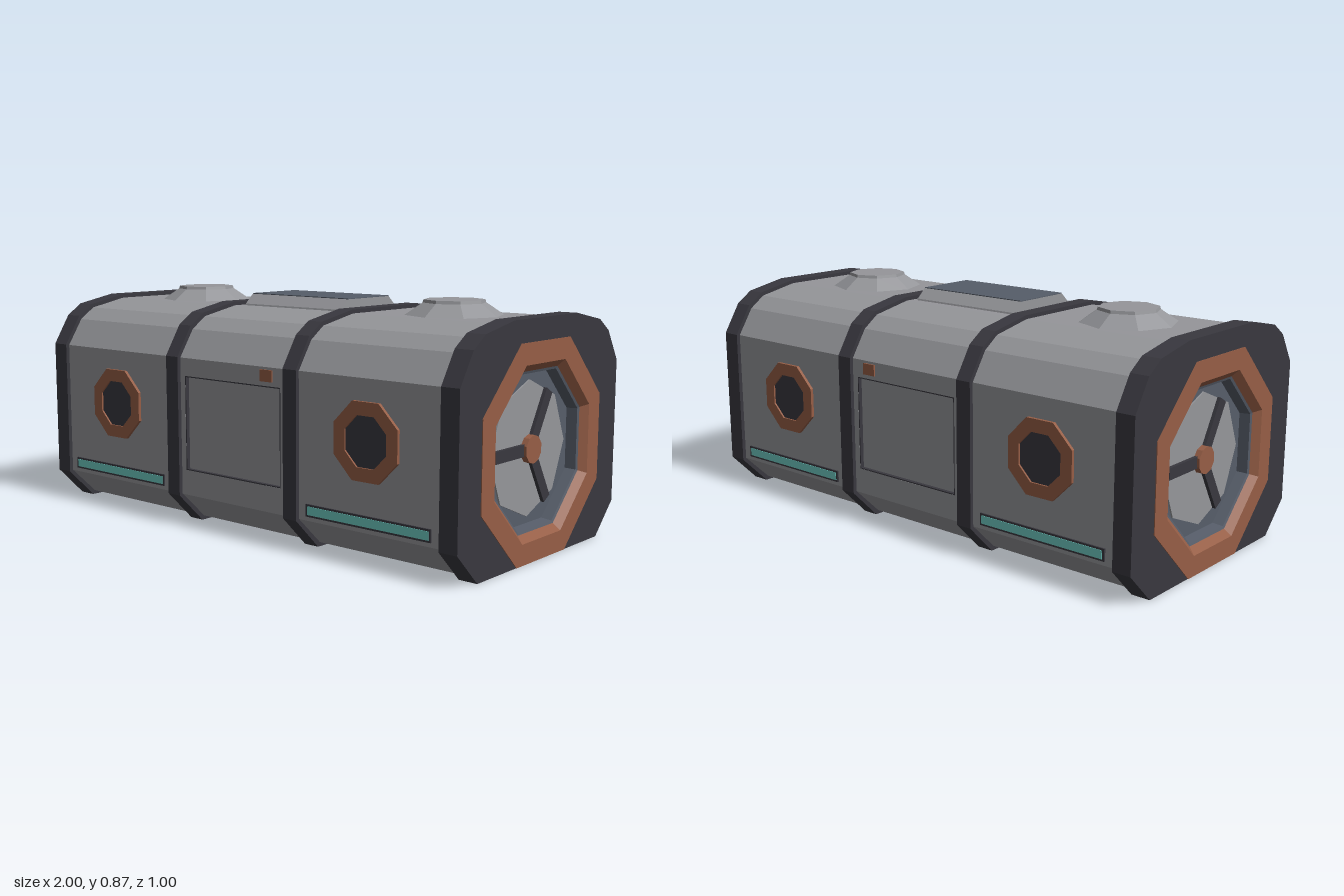
import * as THREE from 'three';

const mat = (name, color) => new THREE.MeshStandardMaterial({ name, color, flatShading: true });

export function createModel() {
  const model = new THREE.Group();
  model.name = 'habitatModule';
  const hull = mat('hull grey', 0x95969a);
  const dark = mat('dark trim', 0x39383f);
  const orange = mat('rust orange', 0x965e46);
  const blue = mat('slate blue', 0x565d69);
  const teal = mat('teal light', 0x70cec5);

  const add = (parent, name, geo, material, x = 0, y = 0, z = 0) => {
    const m = new THREE.Mesh(geo, material);
    m.name = name;
    m.position.set(x, y, z);
    parent.add(m);
    return m;
  };
  const box = (parent, name, material, w, h, d, x, y, z) =>
    add(parent, name, new THREE.BoxGeometry(w, h, d), material, x, y, z);
  const v2 = (pts) => pts.map(([x, y]) => new THREE.Vector2(x, y));

  // Symmetric section from its right half, listed bottom to top
  const section = (half) =>
    new THREE.Shape(v2([...half, ...half.map(([x, y]) => [-x, y]).reverse()]));
  // Section extruded along the x axis from x0 to x1
  const alongX = (shape, x0, x1) =>
    new THREE.ExtrudeGeometry(shape, { depth: x1 - x0, bevelEnabled: false })
      .translate(0, 0, x0).rotateY(Math.PI / 2);
  // Flat-topped octagon outline
  const octagon = (r, cy = 0) => v2(Array.from({ length: 8 }, (_, i) => {
    const a = Math.PI / 8 + i * Math.PI / 4;
    return [r * Math.cos(a), cy + r * Math.sin(a)];
  }));
  // Eight-sided turned part whose axis points along z
  const turned = (pts) => new THREE.LatheGeometry(v2(pts), 8, Math.PI / 8).rotateX(Math.PI / 2);

  const bodyLow = [[0.375, 0.015], [0.485, 0.12]];
  const bodyHigh = [[0.485, 0.637], [0.42, 0.738], [0.357, 0.782], [0.196, 0.814]];
  const notch = [[0.485, 0.215], [0.47, 0.215], [0.47, 0.57], [0.485, 0.57]];
  const rib = [[0.385, 0], [0.5, 0.115], [0.5, 0.64], [0.43, 0.752], [0.365, 0.796], [0.2, 0.828]];

  // Hull, with recessed door panels in the middle section
  const plain = section([...bodyLow, ...bodyHigh]);
  add(model, 'hullCentre', alongX(section([...bodyLow, ...notch, ...bodyHigh]), -0.24, 0.24), hull);
  add(model, 'hullLeft', alongX(plain, 0.24, 0.928), hull);
  add(model, 'hullRight', alongX(plain, -0.928, -0.24), hull);

  // Ribs around the hull
  for (const x of [-0.295, 0.295]) add(model, 'rib', alongX(section(rib), x - 0.031, x + 0.031), dark);

  // Details on the two long sides
  for (const s of [1, -1]) {
    const side = new THREE.Group();
    side.name = s > 0 ? 'frontSide' : 'backSide';
    model.add(side);

    // Dark reveal around the recessed door
    for (const k of [-1, 1]) {
      box(side, 'doorReveal', dark, 0.004, 0.355, 0.0145, k * 0.238, 0.3925, s * 0.4775);
      box(side, 'doorReveal', dark, 0.48, 0.004, 0.0145, 0, 0.3925 + k * 0.1755, s * 0.4775);
    }
    box(side, 'doorControl', orange, 0.056, 0.042, 0.012, 0.176, 0.607, s * 0.485);

    for (const x of [-0.625, 0.625]) {
      // Porthole with an octagonal frame
      const frame = new THREE.Shape(octagon(0.144));
      frame.holes.push(new THREE.Path(octagon(0.094)));
      const frameGeo = new THREE.ExtrudeGeometry(frame, { depth: 0.02, bevelEnabled: false });
      add(side, 'portholeFrame', frameGeo, orange, x, 0.428, s > 0 ? 0.477 : -0.497);
      const glass = new THREE.ExtrudeGeometry(new THREE.Shape(octagon(0.098)), { depth: 0.008, bevelEnabled: false });
      add(side, 'portholeGlass', glass, dark, x, 0.428, s > 0 ? 0.482 : -0.490);
      // Light strip in a dark frame
      box(side, 'lightStripFrame', dark, 0.526, 0.044, 0.01, x, 0.158, s * 0.486);
      box(side, 'lightStrip', teal, 0.51, 0.03, 0.008, x, 0.158, s * 0.489);
    }
  }

  // Roof domes
  const dome = v2([[0.19, 0.805], [0.113, 0.857], [0.11, 0.868], [0, 0.868]]);
  for (const x of [-0.625, 0.625]) add(model, 'roofDome', new THREE.LatheGeometry(dome, 8), hull, x);

  // Skylight with a sloped base
  add(model, 'skylightBase', alongX(section([[0.165, 0.805], [0.16, 0.82], [0.121, 0.856]]), -0.24, 0.24), hull);
  box(model, 'skylightPane', blue, 0.478, 0.006, 0.24, 0, 0.856, 0);

  // End hatches: built facing +z, then turned to each end
  const collar = section(rib);
  collar.holes.push(new THREE.Path(octagon(0.34, 0.375)));
  for (const s of [1, -1]) {
    const end = new THREE.Group();
    end.name = s > 0 ? 'leftEnd' : 'rightEnd';
    end.rotation.y = s * Math.PI / 2;
    model.add(end);
    const collarGeo = new THREE.ExtrudeGeometry(collar, { depth: 0.071, bevelEnabled: false });
    add(end, 'endCollar', collarGeo, dark, 0, 0, 0.926);

    const hatch = new THREE.Group();
    hatch.name = 'hatch';
    hatch.position.y = 0.375;
    end.add(hatch);
    add(hatch, 'hatchRing',
      turned([[0.4055, 0.98], [0.4055, 1], [0.325, 1], [0.298, 0.975], [0.298, 0.96]]), orange);
    add(hatch, 'hatchWell',
      turned([[0.3, 0.976], [0.289, 0.972], [0.284, 0.932], [0, 0.932]]), blue);
    add(hatch, 'hatchPlate',
      new THREE.CylinderGeometry(0.237, 0.237, 0.01, 8).rotateX(Math.PI / 2), hull, 0, 0, 0.933);
    for (const a of [Math.PI / 3, Math.PI, -Math.PI / 3]) {
      const spoke = box(hatch, 'hatchSpoke', dark, 0.22, 0.042, 0.014,
        0.11 * Math.cos(a), 0.11 * Math.sin(a), 0.944);
      spoke.rotation.z = a;
    }
    add(hatch, 'hatchHub',
      new THREE.CylinderGeometry(0.05, 0.05, 0.025, 10).rotateX(Math.PI / 2), orange, 0, 0, 0.948);
  }
  return model;
}
